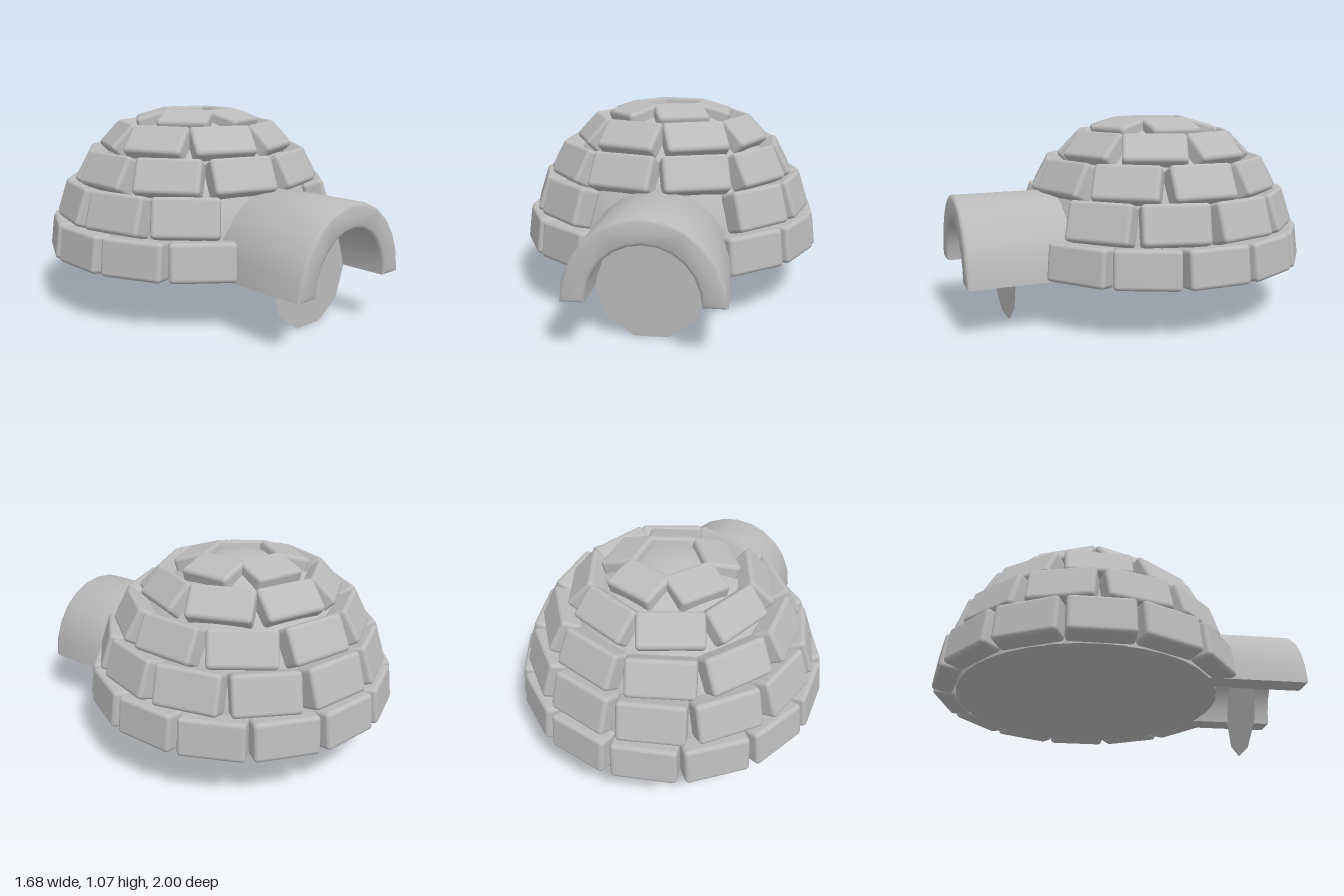
import * as THREE from 'three';
import { toCreasedNormals } from 'three/addons/utils/BufferGeometryUtils.js';
import { RoundedBoxGeometry } from 'three/addons/geometries/RoundedBoxGeometry.js';

const CENTRE_Z = -0.15; // dome axis
const BASE_Y = 0.27;    // underside of dome and tunnel
const THICK = 0.12;     // block thickness

// r, y: middle of a block's outer face; tilt: lean back in degrees
const ROWS = [
  { name: 'row1', count: 14, r: 0.828, y: 0.378, tilt: 7, w: 0.335, h: 0.2, open: true },
  { name: 'row2', count: 12, r: 0.757, y: 0.59, tilt: 18, w: 0.345, h: 0.21, open: true },
  { name: 'row3', count: 10, r: 0.645, y: 0.78, tilt: 28, w: 0.35, h: 0.195 },
  { name: 'row4', count: 8, r: 0.475, y: 0.945, tilt: 44, w: 0.34, h: 0.185 },
  { name: 'row5', count: 5, r: 0.25, y: 1.052, tilt: 74, w: 0.285, h: 0.2, start: Math.PI / 2 },
];

export function createModel() {
  const model = new THREE.Group();
  model.name = 'igloo';
  const snow = new THREE.MeshStandardMaterial({ color: 0xbbbbbb, side: THREE.DoubleSide });
  snow.name = 'grey snow';

  const add = (geometry, name, parent = model) => {
    const mesh = new THREE.Mesh(geometry, snow);
    mesh.name = name;
    parent.add(mesh);
    return mesh;
  };

  // Inner dome and its closed floor
  const dome = add(new THREE.SphereGeometry(0.72, 40, 14, 0, Math.PI * 2, 0, Math.PI / 2), 'innerDome');
  dome.scale.y = 0.785 / 0.72;
  dome.position.set(0, BASE_Y, CENTRE_Z);
  const floor = add(new THREE.CircleGeometry(0.72, 40), 'floor');
  floor.rotation.x = Math.PI / 2;
  floor.position.set(0, BASE_Y - 0.002, CENTRE_Z);

  // Rings of snow blocks, left open in front for the tunnel
  for (const row of ROWS) {
    const ring = new THREE.Group();
    ring.name = row.name;
    ring.position.z = CENTRE_Z;
    model.add(ring);
    const block = new RoundedBoxGeometry(row.w, row.h, THICK, 3, 0.022);
    block.translate(0, 0, -THICK / 2);
    const step = (Math.PI * 2) / row.count;
    for (let i = 0; i < row.count; i++) {
      if (row.open && (i === 0 || i === row.count - 1)) continue;
      const pivot = new THREE.Group();
      pivot.name = 'blockPivot';
      pivot.rotation.y = (row.start ?? step / 2) + i * step;
      ring.add(pivot);
      const mesh = add(block, 'snowBlock', pivot);
      mesh.position.set(0, row.y, row.r);
      mesh.rotation.x = -THREE.MathUtils.degToRad(row.tilt);
    }
  }

  // Arched entrance tunnel
  const arc = (rx, ry) => Array.from({ length: 13 }, (_, i) => {
    const a = (i / 12) * Math.PI;
    return new THREE.Vector2(Math.cos(a) * rx, Math.sin(a) * ry);
  });
  const arch = new THREE.Shape([...arc(0.388, 0.415), ...arc(0.27, 0.285).reverse()]);
  const bevel = 0.018;
  const tunnel = add(toCreasedNormals(new THREE.ExtrudeGeometry(arch, {
    depth: 0.58 - 2 * bevel, bevelEnabled: true, bevelSize: bevel,
    bevelThickness: bevel, bevelOffset: -bevel, bevelSegments: 2,
  }), 0.9), 'entranceTunnel');
  tunnel.position.set(0, BASE_Y, 0.42 + bevel);

  // Ten-sided door plate standing in the tunnel
  const door = add(new THREE.CircleGeometry(0.278, 10), 'doorPlate');
  door.position.set(0, 0.264, 0.736);
  door.rotation.x = 0.012;

  return model;
}
